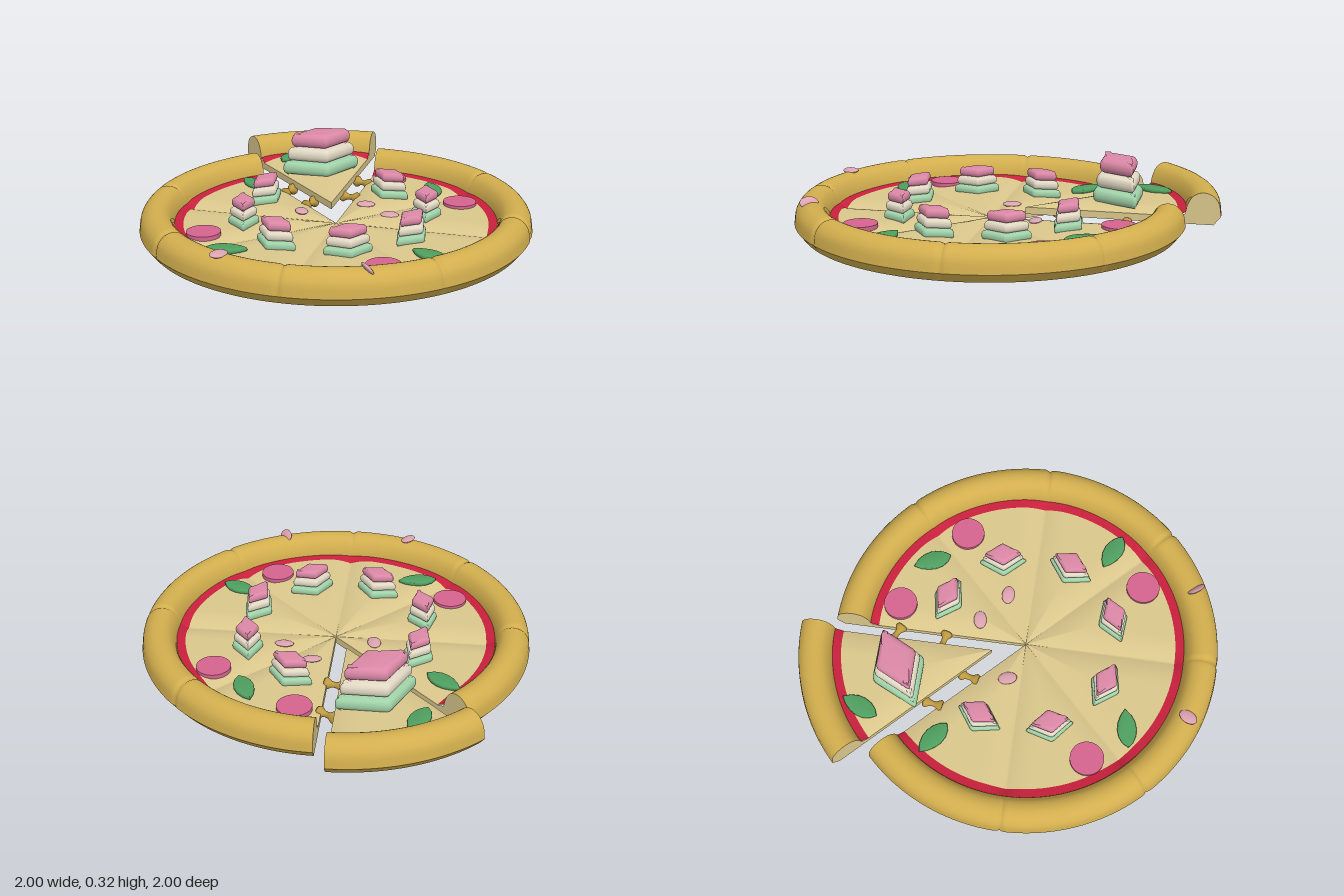
import * as THREE from 'three';
import { toCreasedNormals } from 'three/addons/utils/BufferGeometryUtils.js';

const mat = (name, color, side = THREE.FrontSide) => {
  const m = new THREE.MeshStandardMaterial({ color, side });
  m.name = name;
  return m;
};

const STEP = Math.PI / 4, HALF = STEP / 2;
const CRUST = new THREE.CatmullRomCurve3([
  [0.8, 0.05], [0.812, 0.1], [0.84, 0.143], [0.885, 0.16], [0.93, 0.148], [0.963, 0.11], [0.975, 0.045],
].map(([r, y]) => new THREE.Vector3(r, y, 0))).getPoints(20);

// Angle to the nearest line between two slices
const toCut = (a) => Math.abs(a - HALF - Math.round((a - HALF) / STEP) * STEP);

// Cheese height: each slice is a soft pillow that dips at its edges
const cheeseY = (r, a) => {
  const t = Math.min(1, (r * Math.sin(toCut(a))) / 0.13);
  return 0.036 + 0.024 * t * (2 - t);
};

// Crust section, pinched a little where slices meet
const crustPoints = (a, start, end) => {
  const inside = a > start + 0.05 && a < end - 0.05;
  const notch = inside ? Math.exp(-((toCut(a) / 0.012) ** 2)) : 0;
  return CRUST.map(({ x, y }, i) => [x - 0.008 * notch * (i / 20), y * (1 - 0.07 * notch)]);
};

// Sweep a section of [radius, height] points from one angle to another
function sweep(section, start, end) {
  const n = Math.round((end - start) / (STEP / 64));
  const pos = [], index = [];
  let m = 0;
  for (let i = 0; i <= n; i++) {
    const a = start + ((end - start) * i) / n;
    const pts = section(a);
    m = pts.length;
    for (const [r, y] of pts) pos.push(r * Math.cos(a), y, -r * Math.sin(a));
  }
  for (let i = 0; i < n; i++) for (let j = 0; j < m - 1; j++) {
    const p = i * m + j, q = p + m;
    index.push(p, p + 1, q, p + 1, q + 1, q);
  }
  const g = new THREE.BufferGeometry();
  g.setAttribute('position', new THREE.Float32BufferAttribute(pos, 3));
  g.setIndex(index);
  g.computeVertexNormals();
  return g;
}

// Rounded slab lying flat, with its bottom at y = 0
function slab(shape, height, bevel) {
  const g = new THREE.ExtrudeGeometry(shape, {
    depth: height - 2 * bevel, bevelThickness: bevel, bevelSize: bevel, bevelOffset: -bevel,
    bevelSegments: 4, curveSegments: 6,
  });
  g.translate(0, 0, bevel);
  g.rotateX(-Math.PI / 2);
  return toCreasedNormals(g, 0.7);
}

function diamond(a, b) {
  const c = [[a, 0], [0, b], [-a, 0], [0, -b]], k = 0.1;
  const s = new THREE.Shape();
  c.forEach(([x, y], i) => {
    const [px, py] = c[(i + 3) % 4], [nx, ny] = c[(i + 1) % 4];
    s[i ? 'lineTo' : 'moveTo'](x + (px - x) * k, y + (py - y) * k);
    s.quadraticCurveTo(x, y, x + (nx - x) * k, y + (ny - y) * k);
  });
  s.closePath();
  return s;
}

function leafShape() {
  const s = new THREE.Shape();
  s.moveTo(-0.1, 0);
  s.bezierCurveTo(-0.06, -0.06, 0.04, -0.07, 0.1, 0);
  s.bezierCurveTo(0.04, 0.06, -0.06, 0.07, -0.1, 0);
  return s;
}

export function createModel() {
  const crust = mat('golden crust', 0xd2ae4e);
  const cheese = mat('pale cheese', 0xdac78c, THREE.DoubleSide);
  const sauce = mat('red sauce', 0xc8203c, THREE.DoubleSide);
  const pink = mat('rose pink', 0xdb88a6);
  const cream = mat('cream', 0xe2d9c4);
  const mint = mat('mint', 0xa0d2a8);
  const sausage = mat('deep pink', 0xd5648e);
  const leaf = mat('leaf green', 0x4f9f60);
  const petal = mat('petal pink', 0xdda3b0);
  const strand = mat('dark gold', 0xbf9a40);

  const model = new THREE.Group();
  const add = (parent, name, geo, material, x = 0, y = 0, z = 0, turn = 0) => {
    const m = new THREE.Mesh(geo, material);
    m.name = name;
    m.position.set(x, y, z);
    m.rotation.y = turn;
    parent.add(m);
    return m;
  };

  // Dough, sauce and cheese for one sector, with closed cut faces
  function sector(name, start, end, x, y, z) {
    const g = new THREE.Group();
    g.name = name;
    g.position.set(x, y, z);
    model.add(g);
    const rim = (a) => crustPoints(a, start, end);
    const top = (a) => Array.from({ length: 25 }, (_, j) => {
      const r = (0.76 * j) / 24;
      return [r, cheeseY(r, a)];
    });
    add(g, 'crust', sweep(rim, start, end), crust);
    add(g, 'crustSkirt', sweep((a) => [rim(a)[20], [0.94, 0]], start, end), crust);
    add(g, 'base', sweep(() => [[0.94, 0], [0, 0]], start, end), crust);
    add(g, 'cheese', sweep(top, start, end), cheese);
    add(g, 'sauceRing', sweep((a) => [[0.76, cheeseY(0.76, a)], [0.815, 0.066]], start, end), sauce);
    for (const a of [start, end]) {
      const outline = [[0, 0], [0.94, 0], ...rim(a).reverse(), ...top(a).reverse()];
      const face = new THREE.ShapeGeometry(new THREE.Shape(outline.map(([r, h]) => new THREE.Vector2(r, h))));
      add(g, 'cutFace', face, cheese, 0, 0, 0, a);
    }
  }
  const LIFT = 0.045;
  sector('pizza', HALF + STEP, HALF + 8 * STEP, -0.025, 0, 0.02);
  sector('pulledSlice', HALF, HALF + STEP, 0.1, LIFT, -0.107);

  // Three-layer diamond stacks, one per slice
  const layers = [
    ['mintLayer', slab(diamond(0.222, 0.142), 0.072, 0.03), mint],
    ['creamLayer', slab(diamond(0.196, 0.124), 0.072, 0.03), cream],
    ['pinkLayer', slab(diamond(0.172, 0.106), 0.076, 0.033), pink],
  ];
  function stack(x, y, z, turn, scale, tall) {
    const g = new THREE.Group();
    g.name = 'diamondStack';
    g.position.set(x, y, z);
    g.rotation.y = turn;
    g.scale.set(scale, tall, scale);
    layers.forEach(([name, geo, m], i) => add(g, name, geo, m, 0, 0.0745 * i, 0));
    model.add(g);
  }
  const turns = [90, 0, 0, 40, 90, -40, 0, 33];
  turns.forEach((deg, i) => {
    if (i === 1) return;
    const a = i * STEP;
    stack(-0.025 + 0.46 * Math.cos(a), 0.051, 0.018 - 0.46 * Math.sin(a), THREE.MathUtils.degToRad(deg), 0.56, 0.62);
  });
  stack(0.44, 0.097, -0.445, -0.62, 1, 1);

  // Round slices
  const disc = new THREE.CylinderGeometry(0.085, 0.085, 0.022, 40);
  for (const [x, z] of [[-0.59, -0.355], [0.637, -0.12], [0.54, 0.39], [-0.396, 0.583]])
    add(model, 'roundTopping', disc, sausage, x, 0.064, z);

  // Leaves
  const leafGeo = slab(leafShape(), 0.024, 0.01);
  for (const [x, y, z, deg] of [
    [0.12, 0.057, -0.645, 77], [0.51, 0.057 + LIFT, -0.7, 0], [-0.685, 0.057, -0.12, -56],
    [0.62, 0.057, 0.165, 48], [-0.165, 0.057, 0.68, 88]])
    add(model, 'leaf', leafGeo, leaf, x, y, z, THREE.MathUtils.degToRad(deg));

  // Scattered petals
  const petalGeo = new THREE.SphereGeometry(1, 20, 12).scale(0.048, 0.011, 0.033);
  for (const [x, y, z, deg, tilt] of [
    [-0.925, 0.162, 0.055, -5, 0.15], [-0.645, 0.158, 0.675, 60, 0.9], [-0.04, 0.058, -0.19, 40, 0.1],
    [0.24, 0.06, 0.01, -60, 0.1], [0.185, 0.06, 0.2, -70, 0.1]]) {
    const p = add(model, 'petal', petalGeo, petal, x, y, z, THREE.MathUtils.degToRad(deg));
    p.rotation.x = tilt;
    p.rotation.order = 'YXZ';
  }

  // Pinched strands bridging the gap around the slice
  const strandGeo = new THREE.LatheGeometry(
    [[0, -0.05], [0.026, -0.05], [0.031, -0.038], [0.016, -0.015], [0.014, 0], [0.016, 0.015],
      [0.031, 0.038], [0.026, 0.05], [0, 0.05]].map(([r, y]) => new THREE.Vector2(r, y)), 16);
  strandGeo.rotateZ(Math.PI / 2);
  for (const [x, z, deg] of [[0.22, -0.487, 12], [0.135, -0.275, 8], [0.347, -0.175, -80], [0.577, -0.26, 85]])
    add(model, 'strand', strandGeo, strand, x, 0.03, z, THREE.MathUtils.degToRad(deg));

  return model;
}
